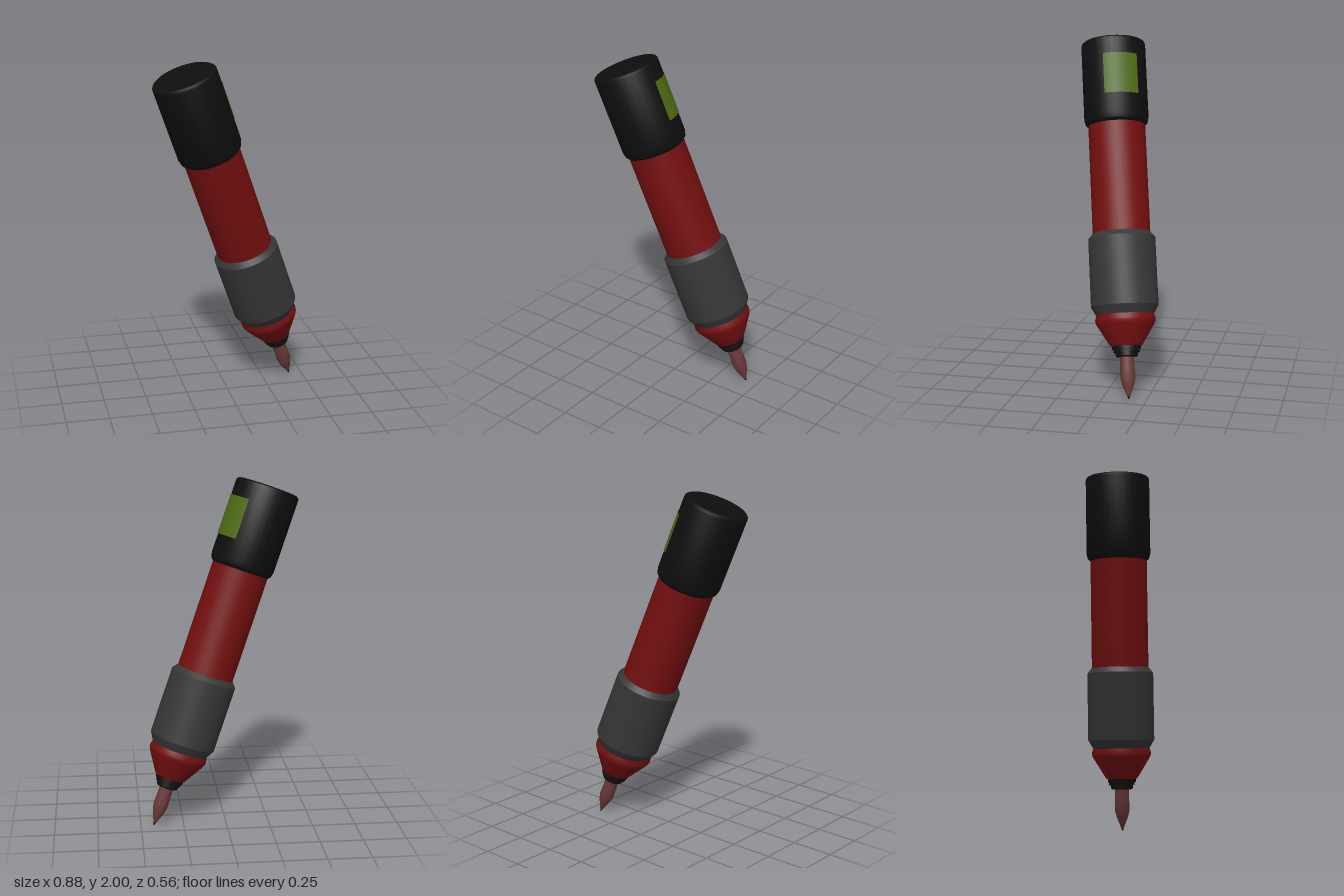
import * as THREE from 'three';
import { toCreasedNormals } from 'three/addons/utils/BufferGeometryUtils.js';

const paint = (name, color) => {
  const m = new THREE.MeshStandardMaterial({ color });
  m.name = name;
  return m;
};

export function createModel() {
  const red = paint('red', 0x740f0f);
  const black = paint('black', 0x0e0e0e);
  const grey = paint('grey', 0x363636);
  const green = paint('green', 0x4e6a12);
  const nibBrown = paint('nib brown', 0x693838);

  // The pen is built upright from its tip, then leaned over as a whole
  const pen = new THREE.Group();
  pen.name = 'pen';

  // Turned part from [radius, height] pairs, bottom to top
  const turned = (name, material, profile, crease = 0.45) => {
    const points = profile.map(([r, y]) => new THREE.Vector2(r, y));
    const geometry = toCreasedNormals(new THREE.LatheGeometry(points, 36), crease);
    const mesh = new THREE.Mesh(geometry, material);
    mesh.name = name;
    pen.add(mesh);
  };

  // Writing end
  turned('tipPoint', black, [[0, 0], [0.004, 0.002], [0.008, 0.022], [0, 0.022]]);
  turned('nib', nibBrown, [[0, 0.018], [0.009, 0.018], [0.034, 0.082], [0.043, 0.12], [0.041, 0.18], [0.039, 0.26], [0, 0.26]]);
  turned('collar', black, [
    [0, 0.238], [0.058, 0.238], [0.064, 0.245], [0.064, 0.262], [0.074, 0.262],
    [0.074, 0.28], [0.082, 0.28], [0.082, 0.315], [0, 0.315],
  ]);
  turned('noseCone', red, [[0, 0.3], [0.09, 0.3], [0.164, 0.42], [0.171, 0.436], [0.172, 0.45], [0.162, 0.485], [0, 0.485]], 0.7);

  // Grip sleeve, barrel and cap
  turned('grip', grey, [[0, 0.473], [0.163, 0.473], [0.193, 0.525], [0.193, 0.915], [0.168, 0.945], [0, 0.945]]);
  turned('barrel', red, [[0.166, 0.93], [0.166, 1.6]]);
  turned('cap', black, [
    [0, 1.575], [0.166, 1.575], [0.181, 1.59], [0.188, 1.62],
    [0.188, 2.058], [0.184, 2.068], [0.174, 2.075], [0, 2.077],
  ]);

  // Curved label wrapped on the cap
  const deg = Math.PI / 180;
  const label = new THREE.Mesh(
    new THREE.CylinderGeometry(0.191, 0.191, 0.235, 18, 1, true, 84 * deg, 63 * deg),
    green,
  );
  label.material.side = THREE.DoubleSide;
  label.name = 'label';
  label.position.y = 1.85;
  pen.add(label);

  // Lean
  const axis = new THREE.Vector3(-0.693, 1.94, 0.25).normalize();
  pen.quaternion.setFromUnitVectors(new THREE.Vector3(0, 1, 0), axis);
  pen.position.set(0.425, 0, -0.15);

  const model = new THREE.Group();
  model.name = 'markerPen';
  model.add(pen);
  return model;
}
